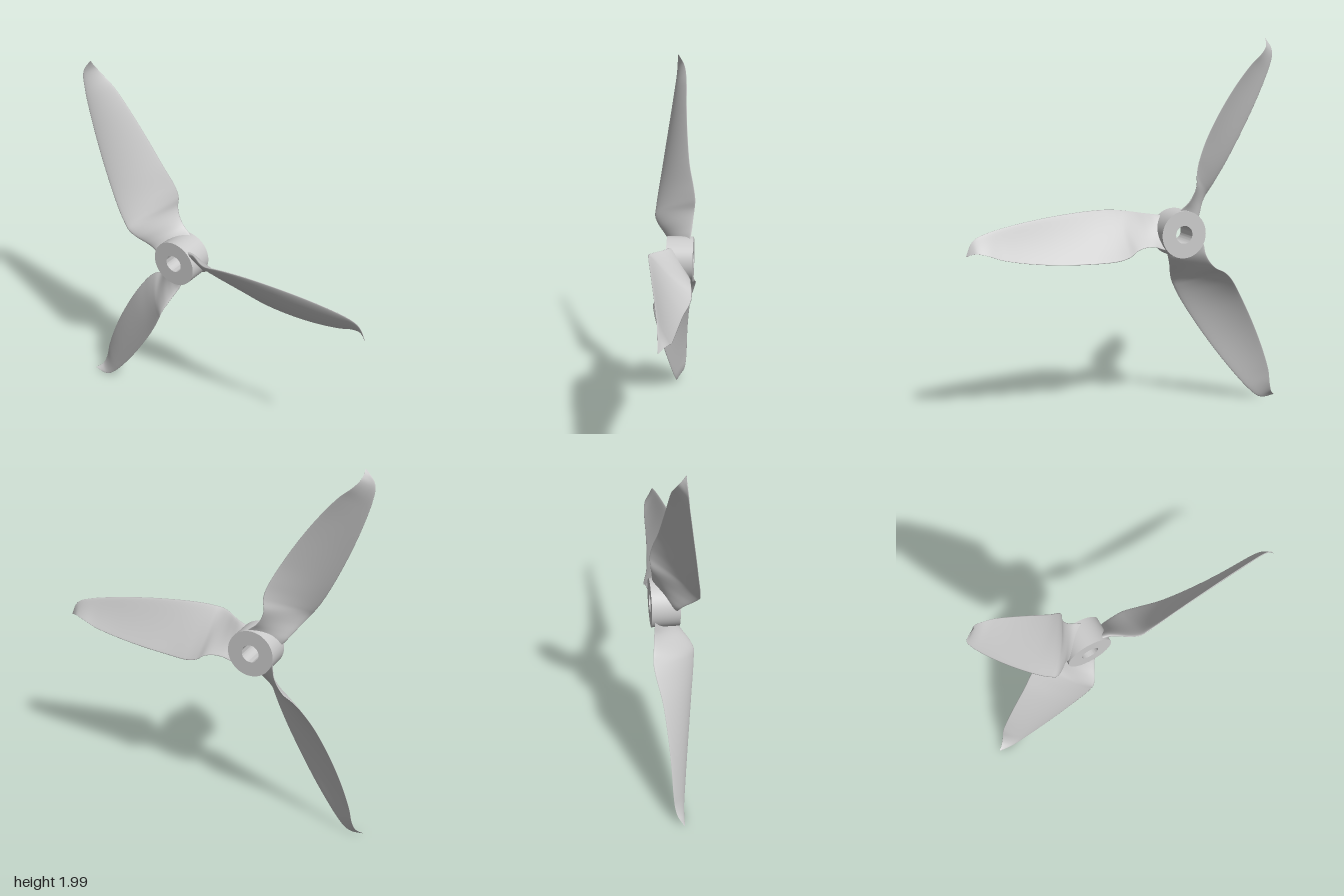
import * as THREE from 'three';
import { toCreasedNormals } from 'three/addons/utils/BufferGeometryUtils.js';

// Blade stations: radius, leading edge y, z, trailing edge y, z, thickness
const STATIONS = [
  [0.08, 0.092, 0.015, -0.085, -0.095, 0.05],
  [0.12, 0.098, 0.027, -0.072, -0.1, 0.042],
  [0.16, 0.102, 0.052, -0.058, -0.104, 0.036],
  [0.21, 0.108, 0.088, -0.056, -0.108, 0.032],
  [0.26, 0.115, 0.11, -0.068, -0.114, 0.028],
  [0.31, 0.121, 0.108, -0.1, -0.118, 0.025],
  [0.38, 0.125, 0.101, -0.119, -0.108, 0.022],
  [0.5, 0.123, 0.085, -0.126, -0.084, 0.02],
  [0.66, 0.112, 0.064, -0.122, -0.068, 0.018],
  [0.82, 0.094, 0.042, -0.106, -0.058, 0.016],
  [0.96, 0.071, 0.023, -0.08, -0.053, 0.014],
  [1.04, 0.052, 0.012, -0.052, -0.046, 0.012],
  [1.09, 0.033, 0.007, -0.041, -0.034, 0.01],
  [1.12, 0.003, 0.004, -0.045, -0.017, 0.007],
  [1.142, -0.05, 0.001, -0.056, -0.001, 0.002],
];
const ROWS = 84, SIDES = 28;

function spline(pick) {
  return new THREE.CatmullRomCurve3(
    STATIONS.map((s) => new THREE.Vector3(...pick(s))), false, 'catmullrom', 0.5);
}

// Twisted, slightly cambered blade lofted along +x
function bladeGeometry() {
  const lead = spline((s) => [s[0], s[1], s[2]]);
  const trail = spline((s) => [s[0], s[3], s[4]]);
  const thick = spline((s) => [s[0], s[5], 0]);
  const axis = new THREE.Vector3(1, 0, 0);
  const pos = [], index = [];
  for (let i = 0; i <= ROWS; i++) {
    const u = i / ROWS;
    const a = lead.getPoint(u), b = trail.getPoint(u), t = thick.getPoint(u).y;
    const mid = a.clone().add(b).multiplyScalar(0.5);
    const half = a.clone().sub(b).multiplyScalar(0.5);
    const normal = axis.clone().cross(half).normalize();
    const camber = half.length() * 0.09 * Math.min(1, u * 3);
    for (let j = 0; j < SIDES; j++) {
      const w = (j / SIDES) * Math.PI * 2, c = Math.cos(w);
      // Rounded leading edge, thin trailing edge
      const h = 0.5 * t * Math.sin(w) * (0.7 + 0.3 * c) + camber * (1 - c * c);
      const p = mid.clone().addScaledVector(half, c).addScaledVector(normal, h);
      pos.push(p.x, p.y, p.z);
    }
  }
  for (let i = 0; i < ROWS; i++) {
    for (let j = 0; j < SIDES; j++) {
      const k = (j + 1) % SIDES;
      const a = i * SIDES + j, b = i * SIDES + k, c = a + SIDES, d = b + SIDES;
      index.push(a, b, c, b, d, c);
    }
  }
  // Close the tip
  for (let j = 1; j < SIDES - 1; j++) {
    index.push(ROWS * SIDES, ROWS * SIDES + j, ROWS * SIDES + j + 1);
  }
  const geo = new THREE.BufferGeometry();
  geo.setAttribute('position', new THREE.Float32BufferAttribute(pos, 3));
  geo.setIndex(index);
  geo.computeVertexNormals();
  return geo;
}

export function createModel() {
  const group = new THREE.Group();
  group.name = 'propeller';
  const material = new THREE.MeshStandardMaterial({ color: 0xcccccc });

  const rotor = new THREE.Group();
  rotor.name = 'rotor';
  rotor.position.set(-0.262, 0.98, 0);
  group.add(rotor);

  // Hub ring with a shaft bore
  const inner = 0.047, outer = 0.125, back = -0.113, front = 0.03;
  const ring = [[inner, back], [outer, back], [outer, front], [inner, front], [inner, back]]
    .map(([r, z]) => new THREE.Vector2(r, z));
  const hubGeo = new THREE.LatheGeometry(ring, 64);
  hubGeo.rotateX(Math.PI / 2);
  const hub = new THREE.Mesh(toCreasedNormals(hubGeo, 0.6), material);
  hub.name = 'hub';
  rotor.add(hub);

  // Three equal blades
  const geo = bladeGeometry();
  for (let i = 0; i < 3; i++) {
    const blade = new THREE.Mesh(geo, material);
    blade.name = 'blade' + (i + 1);
    blade.rotation.z = (i * Math.PI * 2) / 3;
    rotor.add(blade);
  }
  return group;
}
